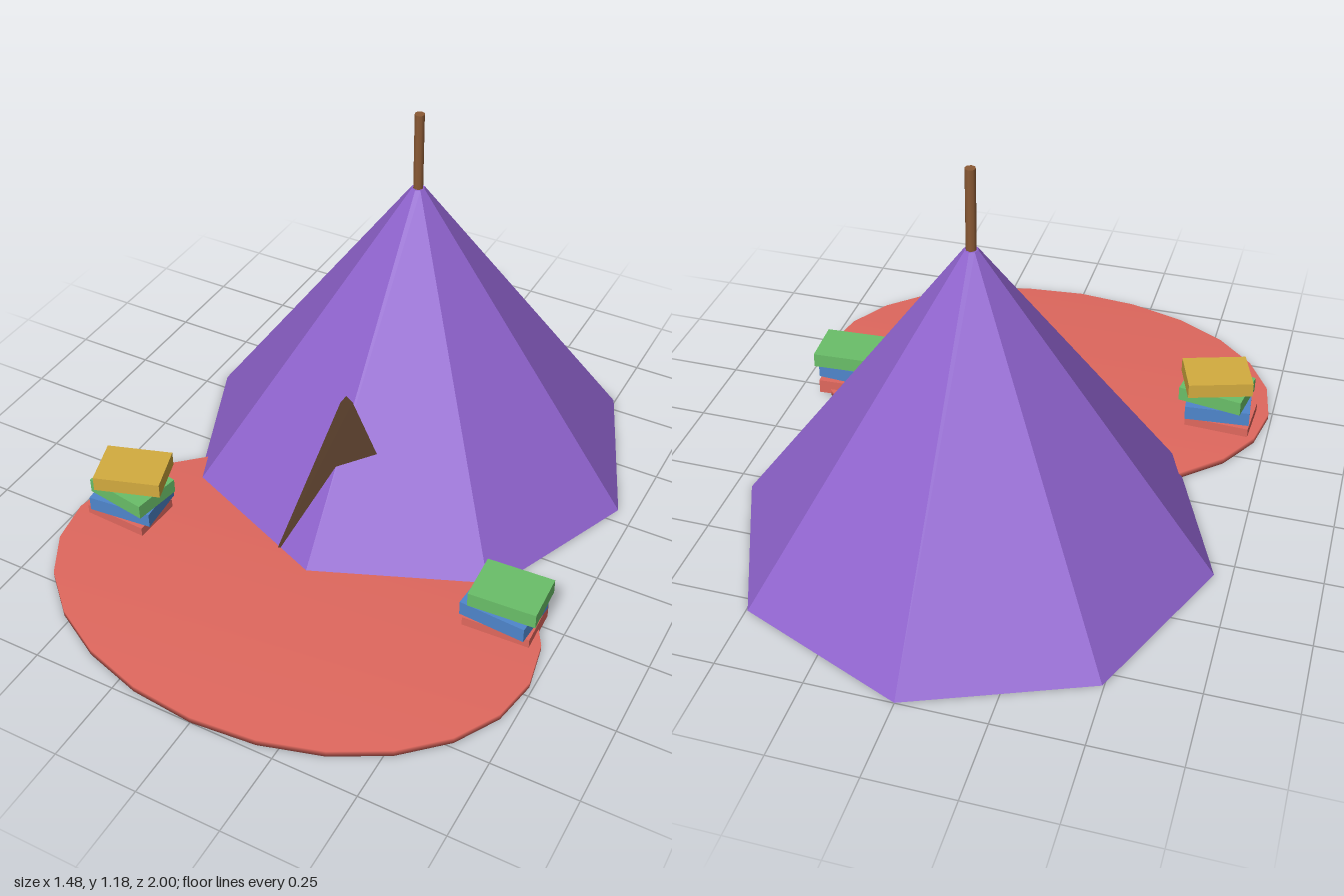
import * as THREE from 'three';
import { mergeVertices } from 'three/addons/utils/BufferGeometryUtils.js';

const paint = (name, color, flat = true) => {
  const m = new THREE.MeshStandardMaterial({ color, flatShading: flat });
  m.name = name;
  return m;
};

export function createModel() {
  const purple = paint('purple canvas', 0x8e62cc);
  const coral = paint('coral', 0xe0685e, false);
  const darkBrown = paint('dark brown', 0x553b28);
  const wood = paint('wood', 0x8b5a35, false);
  const blue = paint('blue', 0x4f86cc);
  const green = paint('green', 0x6abf69);
  const yellow = paint('yellow', 0xd4ac3f);

  const model = new THREE.Group();
  model.name = 'readingTent';

  const add = (name, geometry, material, x, y, z, turn = 0, parent = model) => {
    const mesh = new THREE.Mesh(geometry, material);
    mesh.name = name;
    mesh.position.set(x, y, z);
    mesh.rotation.y = turn;
    parent.add(mesh);
    return mesh;
  };

  // Eight-sided tent and the pole through its tip
  add('tent', new THREE.CylinderGeometry(0.02, 0.7, 0.943, 8), purple, 0, 0.4725, -0.3);
  add('pole', new THREE.CylinderGeometry(0.015, 0.015, 0.38, 8), wood, 0, 0.99, -0.3);

  // Three-sided entrance that pokes out through the tent front
  add('entrance', new THREE.CylinderGeometry(0.02, 0.25, 0.472, 3), darkBrown, 0, 0.237, 0.135, -Math.PI / 6);

  // Oval rug with shading rounded over its rim
  let rugShape = new THREE.CylinderGeometry(0.74, 0.74, 0.02, 24);
  rugShape.deleteAttribute('normal');
  rugShape.deleteAttribute('uv');
  rugShape = mergeVertices(rugShape);
  rugShape.scale(1, 1, 0.53 / 0.74);
  rugShape.computeVertexNormals();
  add('rug', rugShape, coral, 0, 0.01, 0.47);

  // Book stacks: [material, x, z, turn] from the bottom up
  const bookShape = new THREE.BoxGeometry(0.2, 0.046, 0.15);
  const stack = (name, books) => {
    const group = new THREE.Group();
    group.name = name;
    books.forEach(([material, x, z, turn], i) =>
      add('book', bookShape, material, x, 0.026 + i * 0.05, z, turn, group));
    model.add(group);
  };
  stack('rightBooks', [
    [coral, -0.597, 0.41, -0.05],
    [blue, -0.587, 0.41, 0.09],
    [green, -0.578, 0.412, -0.16],
    [yellow, -0.576, 0.403, 0.32],
  ]);
  stack('leftBooks', [
    [coral, 0.585, 0.287, 0.04],
    [blue, 0.582, 0.293, -0.07],
    [green, 0.598, 0.287, 0.05],
  ]);

  return model;
}
